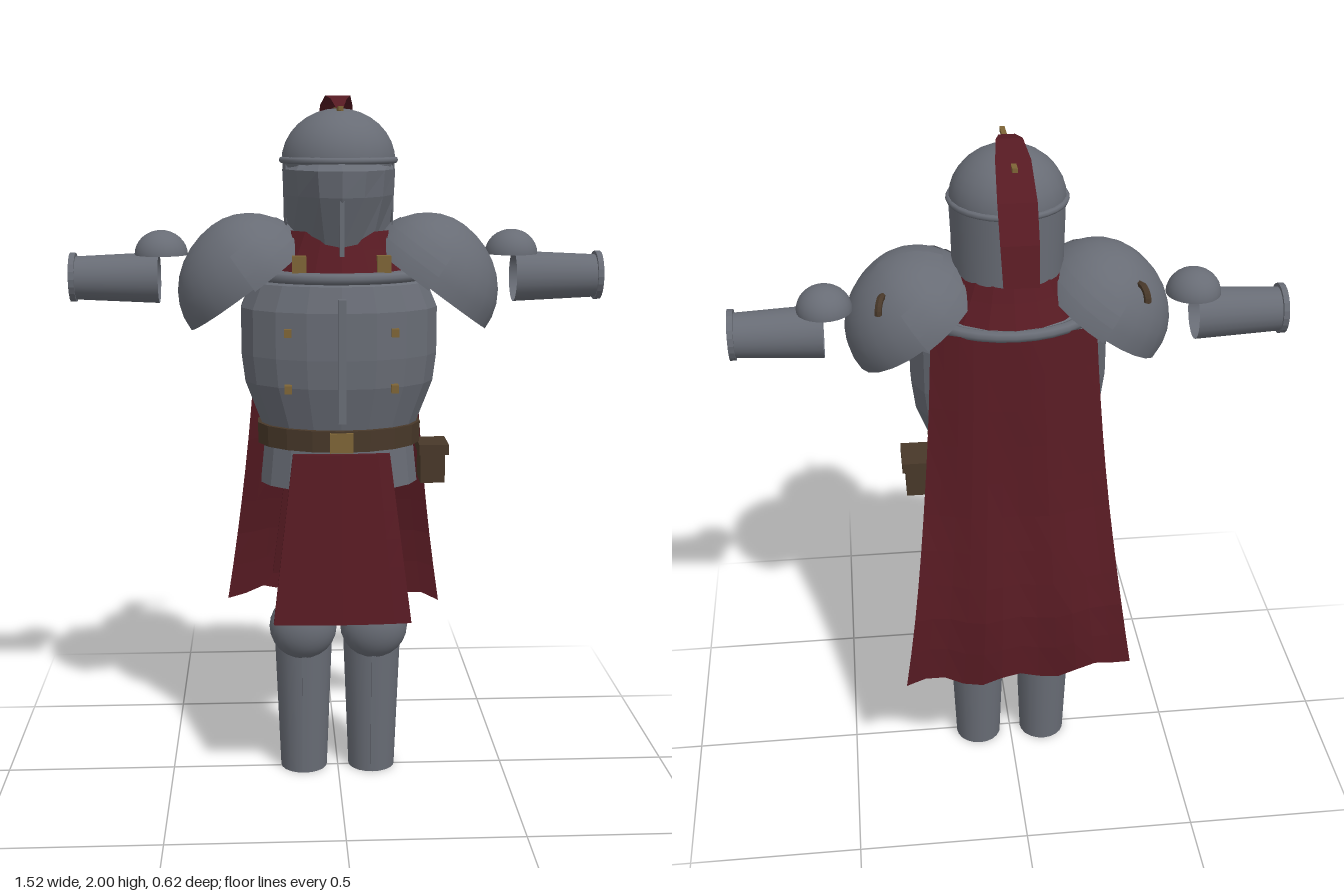
import * as THREE from 'three';

const mat = (color, flatShading = true) => new THREE.MeshStandardMaterial({ color, flatShading, side: THREE.DoubleSide });
const steel = mat(0x686c75), smoothSteel = mat(0x686c75, false);
const cloth = mat(0x561a22), leather = mat(0x483829), brass = mat(0x7d6436);
const CZ = 0.045; // z of the body axis

export function createModel() {
  const root = new THREE.Group();
  const add = (name, geo, material, x = 0, y = 0, z = 0) => {
    const m = new THREE.Mesh(geo, material);
    m.name = name;
    m.position.set(x, y, z);
    root.add(m);
    return m;
  };
  const box = (name, material, w, h, d, x, y, z) => add(name, new THREE.BoxGeometry(w, h, d), material, x, y, z);
  const lathe = (pts, seg) => new THREE.LatheGeometry(pts.map(([r, y]) => new THREE.Vector2(r, y)), seg);
  const dome = () => new THREE.SphereGeometry(1, 24, 8, 0, Math.PI * 2, 0, Math.PI / 2);
  // grid sheet: f(u in -1..1, v in 0 top..1 bottom) gives [x, y, z]
  const sheet = (nu, nv, f) => {
    const g = new THREE.PlaneGeometry(2, 1, nu, nv), p = g.attributes.position;
    for (let i = 0; i < p.count; i++) p.setXYZ(i, ...f(p.getX(i), 0.5 - p.getY(i)));
    g.computeVertexNormals();
    return g;
  };
  // value along a list of evenly spaced samples
  const sample = (a, t) => {
    const k = Math.min(Math.floor(t * (a.length - 1)), a.length - 2);
    return THREE.MathUtils.lerp(a[k], a[k + 1], t * (a.length - 1) - k);
  };
  // shortens the half of a pauldron plate that faces the neck
  const shortenInner = (g, s) => {
    const p = g.attributes.position;
    for (let i = 0; i < p.count; i++) if (p.getX(i) * s < 0) p.setX(i, p.getX(i) * 0.82);
    g.computeVertexNormals();
    return g;
  };

  // Cuirass with its lower fauld
  add('cuirass', lathe([[0, 0.915], [0.228, 0.915], [0.216, 1.03], [0.224, 1.09], [0.27, 1.21], [0.28, 1.29],
    [0.28, 1.42], [0.25, 1.49], [0.2, 1.52], [0.13, 1.54]], 18), steel, 0, 0, 0.052).scale.z = 0.71;
  const gorget = add('gorgetRing', new THREE.TorusGeometry(0.215, 0.016, 8, 32), smoothSteel, 0, 1.515, CZ);
  gorget.rotation.x = Math.PI / 2;
  gorget.scale.x = 1.15;
  box('chestKeel', steel, 0.022, 0.34, 0.035, 0, 1.29, 0.256);

  // Belt, buckle and pouch
  add('belt', lathe([[0.215, 1.03], [0.234, 1.03], [0.236, 1.09], [0.215, 1.09]], 18), leather, 0, 0, 0.048).scale.z = 0.76;
  box('buckle', brass, 0.065, 0.055, 0.025, 0, 1.058, 0.225);
  box('pouch', leather, 0.07, 0.1, 0.11, 0.267, 0.965, 0.063);
  box('pouchFlap', leather, 0.085, 0.03, 0.12, 0.27, 1.012, 0.063);

  // Neck scarf
  add('scarf', lathe([[0.15, 1.635], [0.175, 1.59], [0.212, 1.53]], 18), cloth, 0, 0, CZ);

  // Helmet: skull, brow band and neck guard
  add('helmetSkull', dome(), smoothSteel, 0, 1.82, CZ).scale.set(0.159, 0.145, 0.159);
  add('browBand', new THREE.TorusGeometry(0.157, 0.009, 8, 32), smoothSteel, 0, 1.825, CZ).rotation.x = Math.PI / 2;
  add('neckGuard', new THREE.CylinderGeometry(0.156, 0.152, 0.24, 24, 1, true, Math.PI * 0.4, Math.PI * 1.2),
    smoothSteel, 0, 1.7, CZ);
  add('helmetInner', new THREE.CylinderGeometry(0.15, 0.125, 0.16, 20, 1, true), smoothSteel, 0, 1.74, CZ);

  // Face mask: rows of half outlines, tapering to the chin
  const maskX = [[0, 0.065, 0.12, 0.157], [0, 0.06, 0.115, 0.154], [0, 0.043, 0.085, 0.135]];
  const maskZ = [[0.278, 0.255, 0.17, 0.06], [0.27, 0.248, 0.17, 0.06], [0.215, 0.2, 0.155, 0.06]];
  const maskY = [1.8, 1.73, 1.59];
  const mask = (u, v, table) => sample(table.map((row) => sample(row, Math.abs(u))), v);
  add('faceMask', sheet(6, 2, (u, v) => [Math.sign(u) * mask(u, v, maskX), sample(maskY, v), mask(u, v, maskZ)]), steel);
  add('visorShelf', sheet(6, 1, (u, v) => [Math.sign(u) * sample(maskX[0], Math.abs(u)) * (0.9 + 0.1 * v), 1.82 - 0.02 * v,
    THREE.MathUtils.lerp(CZ + 0.15 * Math.cos(u * 1.5), sample(maskZ[0], Math.abs(u)), v)]), steel);
  box('nasalBar', steel, 0.012, 0.18, 0.03, 0, 1.665, 0.25);

  // Crest rail and ribbon plume
  box('crestRail', brass, 0.014, 0.012, 0.315, 0, 1.963, 0.025);
  const plumeY = [1.965, 1.99, 2.0, 1.975, 1.9, 1.81, 1.71];
  const plumeZ = [0.11, 0.06, 0, -0.09, -0.19, -0.25, -0.285];
  const plumeW = [0.01, 0.022, 0.035, 0.046, 0.051, 0.05, 0.046];
  add('plume', sheet(2, 12, (u, v) => [u * sample(plumeW, v), sample(plumeY, v), sample(plumeZ, v)]), cloth);

  // Cape with soft folds and an uneven hem
  const capeZ = [-0.165, -0.19, -0.212, -0.24, -0.275, -0.302, -0.305];
  add('cape', sheet(12, 10, (u, v) => {
    const fold = Math.sin(u * 8 + v * 3) * 0.006 * (0.3 + v);
    const hem = v * v * v * v * (0.018 * Math.sin(u * 9 + 1) - 0.015 * u);
    return [u * (0.225 + 0.045 * v + 0.065 * v * v), 1.51 - 1.055 * v + hem,
      sample(capeZ, v) + 0.05 * (1 - 0.3 * v) * u * u + fold];
  }), cloth);

  // Front and back tabards
  for (const [name, s, zTop, zEnd] of [['frontTabard', 1, 0.226, 0.3], ['backTabard', -1, -0.136, -0.21]]) {
    const g = new THREE.BoxGeometry(2, 1, 0.016, 8, 6, 1), p = g.attributes.position;
    for (let i = 0; i < p.count; i++) {
      const u = p.getX(i), v = 0.5 - p.getY(i);
      p.setXYZ(i, u * (0.135 + 0.058 * v), 1.025 - 0.47 * v,
        p.getZ(i) + THREE.MathUtils.lerp(zTop, zEnd, v) - s * 0.01 * u * u);
    }
    g.computeVertexNormals();
    add(name, g, cloth);
  }

  for (const s of [1, -1]) {
    const side = s > 0 ? 'left' : 'right';
    const n = (part) => side + part;

    // Chest studs and shoulder buckles
    for (const y of [1.365, 1.21]) box(n('ChestStud'), brass, 0.02, 0.022, 0.03, s * 0.147, y, 0.225);
    box(n('ShoulderBuckle'), brass, 0.038, 0.045, 0.03, s * 0.115, 1.552, 0.222);

    // Pauldron with overlapping inner lames
    const pauldron = new THREE.Group();
    pauldron.name = n('Pauldron');
    pauldron.position.set(s * 0.238, 1.487, 0.042);
    pauldron.rotation.z = -s * 0.64;
    pauldron.scale.set(0.225, 0.197, 0.202);
    const shell = new THREE.Mesh(shortenInner(dome(), s), smoothSteel);
    shell.name = n('PauldronShell');
    pauldron.add(shell);
    for (let i = 0; i < 3; i++) {
      const band = new THREE.SphereGeometry(1.012 + i * 0.014, 12, 2,
        s > 0 ? -Math.PI / 2 : Math.PI / 2, Math.PI, Math.PI * (0.32 + i * 0.06), Math.PI * 0.07);
      const lame = new THREE.Mesh(shortenInner(band, s), smoothSteel);
      lame.name = n('PauldronLame');
      pauldron.add(lame);
    }
    root.add(pauldron);
    box(n('PauldronStud'), brass, 0.02, 0.018, 0.02, s * 0.408, 1.56, 0.037);
    const loop = add(n('PauldronLoop'), new THREE.TorusGeometry(0.035, 0.01, 6, 10, Math.PI), leather, s * 0.35, 1.572, -0.085);
    loop.rotation.y = Math.PI / 2 - s * 0.3;

    // Vambrace, wrist rim and elbow cop
    const arm = add(n('Vambrace'), new THREE.CylinderGeometry(0.061, 0.073, 0.25, 20, 1, true), smoothSteel, s * 0.635, 1.492, -0.035);
    arm.rotation.z = -s * Math.PI / 2;
    const rim = add(n('WristRim'), lathe([[0.057, -0.008], [0.07, -0.008], [0.07, 0.008], [0.057, 0.008], [0.057, -0.008]], 20),
      steel, s * 0.754, 1.494, -0.035);
    rim.rotation.z = Math.PI / 2;
    add(n('ElbowCop'), dome(), smoothSteel, s * 0.503, 1.557, -0.038).scale.set(0.076, 0.07, 0.076);

    // Greave, shin ridge and knee cop
    add(n('Greave'), new THREE.CylinderGeometry(0.086, 0.07, 0.413, 20, 1, true), smoothSteel, s * 0.103, 0.2065, -0.01);
    const ridge = box(n('ShinRidge'), steel, 0.013, 0.39, 0.016, s * 0.103, 0.21, 0.071);
    ridge.rotation.x = 0.03;
    const knee = add(n('KneeCop'), dome(), smoothSteel, s * 0.105, 0.465, 0.045);
    knee.rotation.x = Math.PI / 2;
    knee.scale.set(0.1, 0.08, 0.1);
  }
  return root;
}
